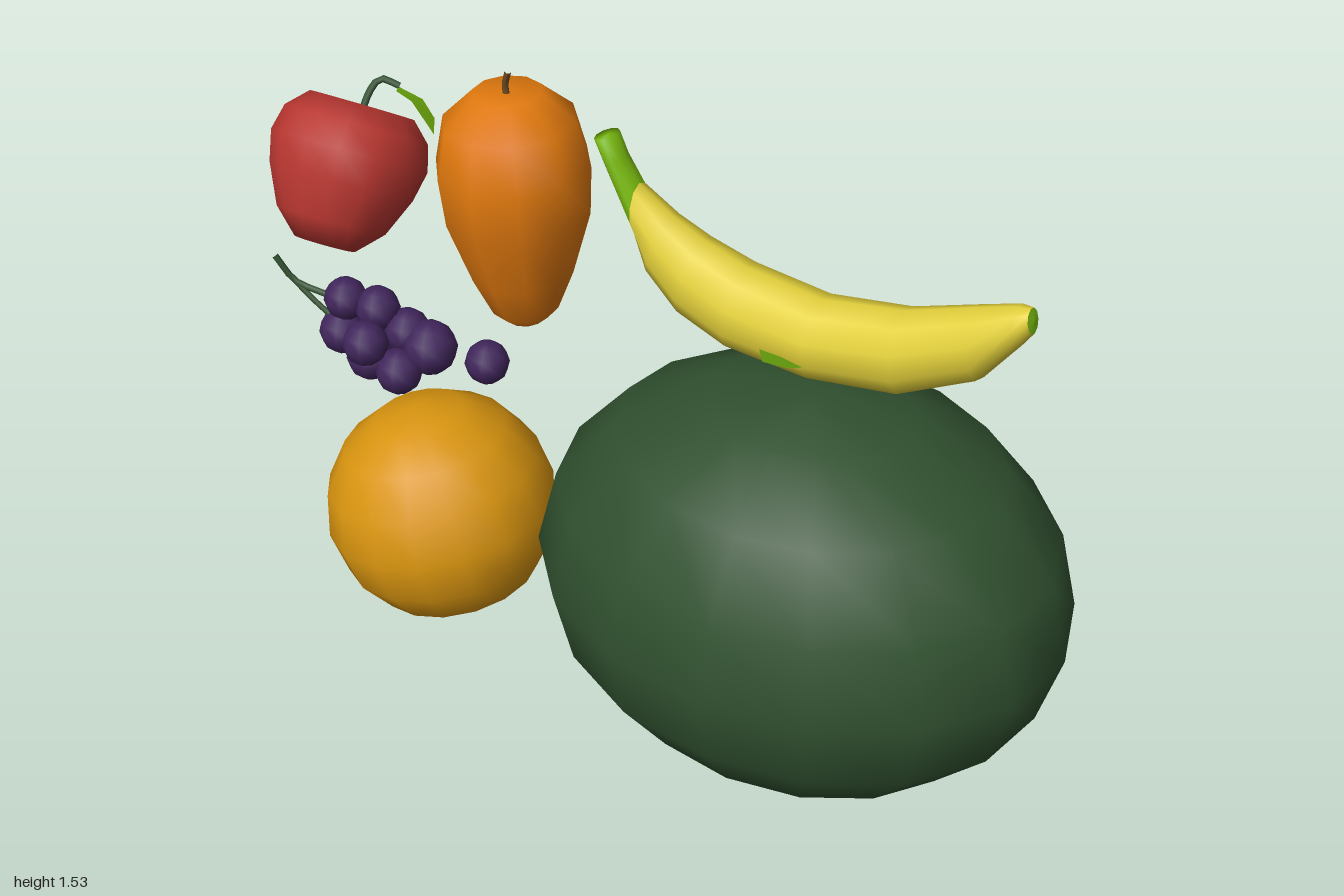
import * as THREE from 'three';

const mat = (name, color, side = THREE.FrontSide) => {
  const m = new THREE.MeshStandardMaterial({ color, side });
  m.name = name;
  return m;
};
const V = (p) => new THREE.Vector3(...p);

// Skin through rings given as [topX, topY, bottomX, bottomY, halfDepth]
function loft(rings, n = 10) {
  const pos = [], idx = [];
  rings.forEach(([tx, ty, bx, by, hz], i) => {
    for (let j = 0; j < n; j++) {
      const a = (j / n) * Math.PI * 2, c = Math.cos(a) / 2;
      pos.push((tx + bx) / 2 + (tx - bx) * c, (ty + by) / 2 + (ty - by) * c, hz * Math.sin(a));
      if (i === rings.length - 1) continue;
      const k = (j + 1) % n, A = i * n + j, D = i * n + k;
      idx.push(A, D, A + n, A + n, D, D + n);
    }
  });
  const g = new THREE.BufferGeometry();
  g.setAttribute('position', new THREE.Float32BufferAttribute(pos, 3));
  g.setIndex(idx);
  g.computeVertexNormals();
  return g;
}

const lathe = (profile, n) =>
  new THREE.LatheGeometry(profile.map(([r, y]) => new THREE.Vector2(r, y)), n);

const twig = (points, r) =>
  new THREE.TubeGeometry(new THREE.CatmullRomCurve3(points.map(V)), 8, r, 6);

export function createModel() {
  const darkGreen = mat('dark green', 0x30502f);
  const amber = mat('amber', 0xd8940f);
  const orange = mat('orange', 0xdf780e);
  const red = mat('red', 0xb83630);
  const purple = mat('purple', 0x41265c);
  const yellow = mat('yellow', 0xe2cf3a);
  const lime = mat('lime green', 0x78b80f, THREE.DoubleSide);
  const brown = mat('brown', 0x6e4a20);

  const model = new THREE.Group();
  const group = (name) => {
    const g = new THREE.Group();
    g.name = name;
    model.add(g);
    return g;
  };
  const add = (parent, name, geo, material, p = [0, 0, 0]) => {
    const m = new THREE.Mesh(geo, material);
    m.name = name;
    m.position.set(...p);
    parent.add(m);
    return m;
  };

  // Melon and round citrus
  add(model, 'watermelon', new THREE.SphereGeometry(0.487, 16, 8), darkGreen, [0.385, 0.49, 0])
    .scale.x = 1.263;
  add(model, 'citrus', new THREE.SphereGeometry(0.283, 16, 8), amber, [-0.58, 0.304, 0])
    .rotation.z = Math.PI / 16;

  // Apple leaning backwards, with stem and leaf
  const apple = group('apple');
  add(apple, 'appleBody', lathe([[0, -0.17], [0.07, -0.185], [0.125, -0.13], [0.165, -0.04],
    [0.18, 0.03], [0.165, 0.09], [0.12, 0.135], [0.05, 0.125], [0, 0.1]], 14), red,
  [-0.775, 1.195, 0]).rotation.x = -0.6;
  add(apple, 'appleStem', twig([[-0.775, 1.27, -0.055], [-0.768, 1.335, -0.1],
    [-0.755, 1.355, -0.125], [-0.715, 1.34, -0.14]], 0.009), darkGreen);
  const leaf = new THREE.BufferGeometry().setFromPoints([
    [-0.72, 1.338, -0.14], [-0.70, 1.347, -0.105], [-0.67, 1.31, -0.16],
    [-0.65, 1.342, -0.09], [-0.62, 1.29, -0.13], [-0.59, 1.278, -0.083]].map(V));
  leaf.setIndex([0, 1, 2, 2, 1, 3, 2, 3, 4, 4, 3, 5]);
  leaf.computeVertexNormals();
  add(apple, 'appleLeaf', leaf, lime);

  // Papaya
  const papaya = group('papaya');
  add(papaya, 'papayaBody', lathe([[0, 0], [0.04, 0.004], [0.075, 0.035], [0.115, 0.13],
    [0.162, 0.28], [0.17, 0.39], [0.145, 0.495], [0.075, 0.558], [0, 0.553]], 10), orange,
  [-0.313, 0.93, 0]).rotation.z = 0.045;
  add(papaya, 'papayaStem', twig([[-0.338, 1.47, 0], [-0.342, 1.5, 0], [-0.332, 1.535, 0.003]], 0.007), brown);

  // Banana
  const banana = group('banana');
  banana.position.z = -0.01;
  const neck = [-0.03, 1.35, -0.03, 1.235, 0.042];
  const end = [0.828, 1.316, 0.842, 1.265, 0.027];
  add(banana, 'bananaBody', loft([neck, [0.05, 1.295, 0.0, 1.155, 0.06],
    [0.12, 1.26, 0.08, 1.08, 0.076], [0.22, 1.225, 0.2, 1.035, 0.088],
    [0.39, 1.2, 0.39, 1.02, 0.09], [0.57, 1.23, 0.59, 1.045, 0.083],
    [0.72, 1.285, 0.75, 1.13, 0.07], [0.8, 1.312, 0.82, 1.23, 0.049], end]), yellow);
  add(banana, 'bananaStem', loft([[-0.103, 1.445, -0.103, 1.445, 0],
    [-0.08, 1.45, -0.13, 1.437, 0.032], [-0.062, 1.405, -0.105, 1.385, 0.034], neck]), lime);
  add(banana, 'bananaTip', loft([end, [0.838, 1.292, 0.838, 1.292, 0]]), lime);
  const patch = new THREE.Shape([[-0.047, 0.015], [0, 0.012], [0.05, 0], [0.012, -0.017],
    [-0.043, -0.02]].map(([x, y]) => new THREE.Vector2(x, y)));
  add(banana, 'bananaPatch', new THREE.ShapeGeometry(patch), lime, [0.35, 1.09, 0.092])
    .rotation.x = 0.22;

  // Grapes: [x, y, z, radius]
  const grapes = group('grapes');
  [[-0.425, 0.775, 0, 0.052], [-0.815, 0.825, 0, 0.052], [-0.825, 0.738, 0.01, 0.056],
    [-0.74, 0.81, -0.02, 0.054], [-0.67, 0.76, -0.035, 0.056], [-0.605, 0.738, -0.03, 0.066],
    [-0.73, 0.755, 0.05, 0.055], [-0.655, 0.69, 0.03, 0.056], [-0.73, 0.637, -0.06, 0.055],
    [-0.735, 0.705, 0.03, 0.056], [-0.77, 0.715, -0.06, 0.056]].forEach(([x, y, z, r]) =>
    add(grapes, 'grape', new THREE.SphereGeometry(r, 10, 6), purple, [x, y, z]));
  add(grapes, 'grapeStem', twig([[-0.99, 0.905, 0.028], [-0.945, 0.845, 0.02],
    [-0.89, 0.828, 0.01], [-0.81, 0.815, 0]], 0.008), darkGreen);
  add(grapes, 'grapeTwig', twig([[-0.945, 0.845, 0.02], [-0.9, 0.81, 0.02],
    [-0.81, 0.755, 0.02]], 0.007), darkGreen);

  return model;
}
